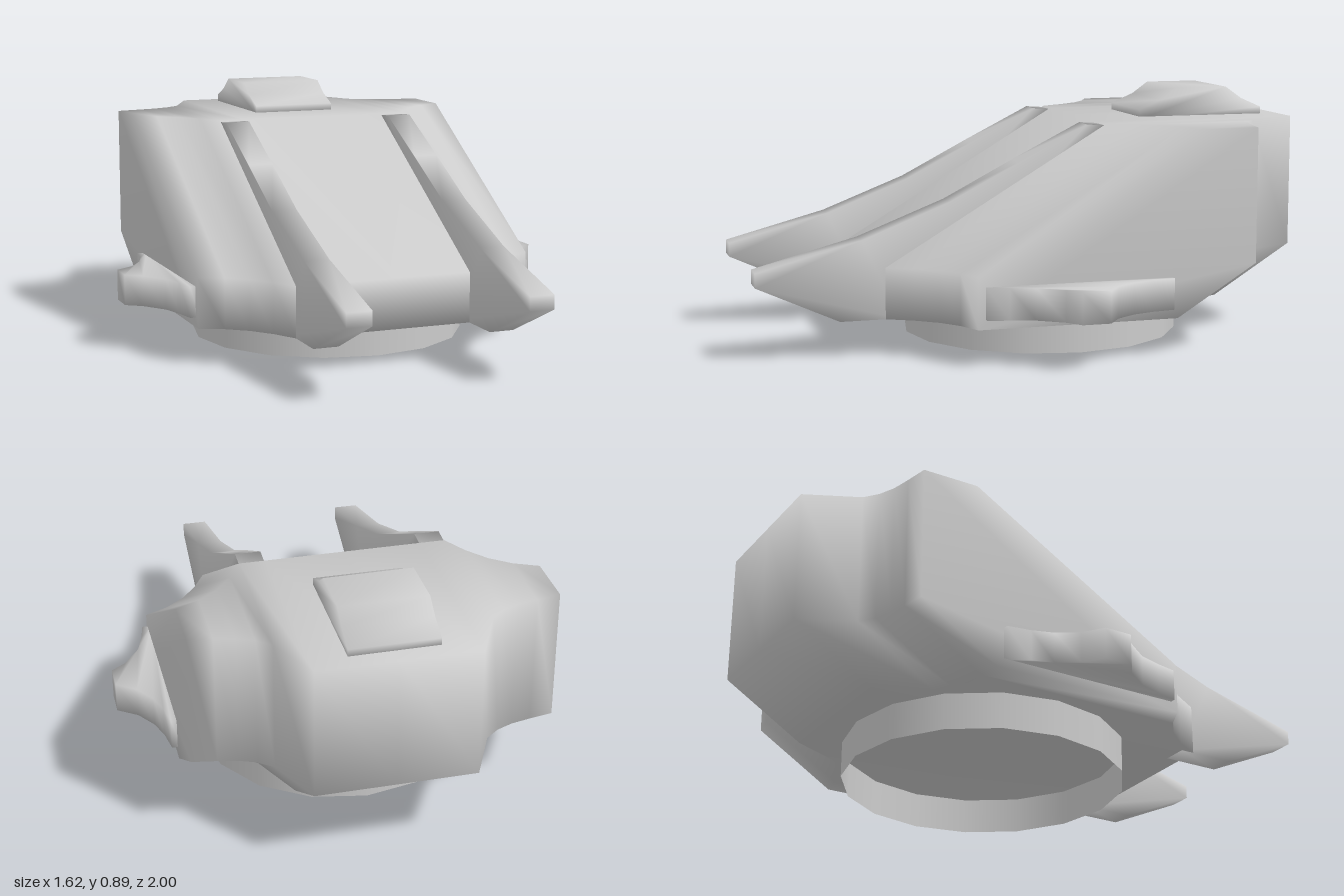
import * as THREE from 'three';
import { mergeVertices } from 'three/addons/utils/BufferGeometryUtils.js';

const material = new THREE.MeshStandardMaterial({ color: 0xcccccc });
const openMaterial = new THREE.MeshStandardMaterial({ color: 0xcccccc, side: THREE.DoubleSide });

function named(name, geometry, mat = material) {
  const mesh = new THREE.Mesh(geometry, mat);
  mesh.name = name;
  return mesh;
}

// Share corners so the shading runs softly over the edges
function soften(geometry) {
  geometry.deleteAttribute('uv');
  geometry.deleteAttribute('normal');
  const merged = mergeVertices(geometry, 1e-4);
  merged.computeVertexNormals();
  return merged;
}

function extrude(points, depth) {
  const shape = new THREE.Shape(points.map(([a, b]) => new THREE.Vector2(a, b)));
  return new THREE.ExtrudeGeometry(shape, { depth, bevelEnabled: false });
}

// Side profile given as [z, y], extruded across x around the given centre
function sideSlab(profile, width, x) {
  return soften(extrude(profile, width).rotateY(-Math.PI / 2).translate(x + width / 2, 0, 0));
}

// Hull: one side profile swept across x, with its front and back following the plan
function hullGeometry() {
  // [x, front z, back z]
  const half = [
    [0, 0.55, -1], [0.28, 0.55, -1], [0.37, 0.55, -0.81], [0.42, 0.46, -0.77],
    [0.48, 0.385, -0.745], [0.55, 0.33, -0.73], [0.635, 0.29, -0.715],
  ];
  const columns = [...half.slice(1).reverse().map(([x, f, b]) => [-x, f, b]), ...half];
  const positions = [], index = [];
  for (const [x, f, b] of columns) {
    const profile = [[f, 0.13], [f, 0.31], [f - 0.8, 0.785], [b, 0.785], [b, 0.31], [b + 0.29, 0.13]];
    for (const [z, y] of profile) positions.push(x, y, z);
  }
  const n = 6, last = (columns.length - 1) * n;
  for (let i = 0; i < columns.length - 1; i++) {
    for (let j = 0; j < n; j++) {
      const a = i * n + j, b = i * n + (j + 1) % n;
      index.push(a, a + n, b, b, a + n, b + n);
    }
  }
  for (let k = 1; k < n - 1; k++) {
    index.push(0, k, k + 1);
    index.push(last, last + k + 1, last + k);
  }
  const geometry = new THREE.BufferGeometry();
  geometry.setAttribute('position', new THREE.Float32BufferAttribute(positions, 3));
  geometry.setIndex(index);
  geometry.computeVertexNormals();
  return geometry;
}

export function createModel() {
  const model = new THREE.Group();
  model.name = 'turret';

  model.add(named('hull', hullGeometry()));

  // Open collar under the hull
  const collar = new THREE.CylinderGeometry(0.507, 0.507, 0.135, 16, 1, true);
  collar.translate(0, 0.0675, -0.115);
  model.add(named('baseCollar', collar, openMaterial));

  // Hatch on the roof
  const hatch = [
    [-0.455, 0.775], [-0.455, 0.81], [-0.54, 0.845], [-0.6, 0.888],
    [-0.795, 0.888], [-0.855, 0.845], [-0.935, 0.81], [-0.935, 0.775],
  ];
  model.add(named('roofHatch', sideSlab(hatch, 0.31, 0)));

  // Forward prongs running down the sloped front
  const prong = [
    [-0.25, 0.78], [-0.18, 0.785], [0.07, 0.66], [0.32, 0.53], [0.63, 0.41],
    [1, 0.312], [1, 0.262], [0.71, 0.13], [0.5, 0.13],
  ];
  // Side fins, plan given as [x, z]
  const fin = [
    [0.62, -0.405], [0.655, -0.405], [0.668, -0.32], [0.692, -0.245], [0.74, -0.17], [0.81, -0.12],
    [0.81, -0.02], [0.755, 0.02], [0.695, 0.105], [0.67, 0.19], [0.655, 0.265], [0.62, 0.265],
  ];
  for (const [side, s] of [['left', 1], ['right', -1]]) {
    model.add(named(side + 'Prong', sideSlab(prong, 0.09, s * 0.325)));
    const slab = extrude(fin.map(([x, z]) => [s * x, -z]), 0.11);
    slab.rotateX(-Math.PI / 2).translate(0, 0.165, 0);
    model.add(named(side + 'SideFin', soften(slab)));
  }
  return model;
}
